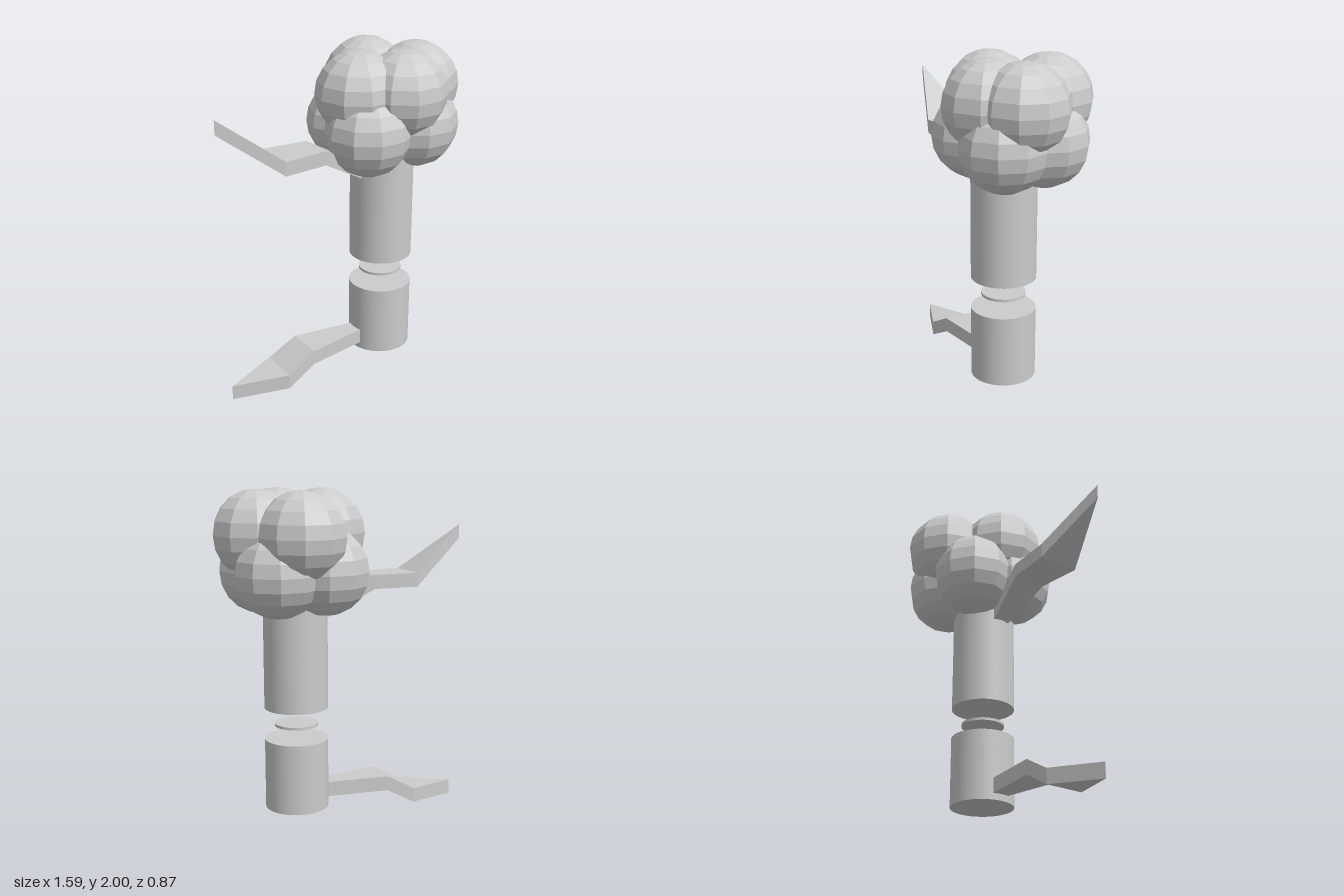
import * as THREE from 'three';

const CX = 0.302, CZ = 0.058; // trunk axis

const grey = (opts = {}) => new THREE.MeshStandardMaterial({ color: 0xcccccc, ...opts });

// Bent leaf-shaped branch: each station is [x, topY, halfWidth], ending in a point
function branchGeometry(stations, thickness) {
  const pos = [], index = [];
  for (const [x, y, w] of stations) {
    pos.push(x, y, CZ - w, x, y, CZ + w, x, y - thickness, CZ + w, x, y - thickness, CZ - w);
  }
  for (let i = 0; i < stations.length - 1; i++) {
    for (let k = 0; k < 4; k++) {
      const a = i * 4 + k, b = i * 4 + (k + 1) % 4;
      index.push(a, a + 4, b, b, a + 4, b + 4);
    }
  }
  index.push(0, 1, 2, 0, 2, 3); // root cap
  const geo = new THREE.BufferGeometry();
  geo.setAttribute('position', new THREE.Float32BufferAttribute(pos, 3));
  geo.setIndex(index);
  const flat = geo.toNonIndexed();
  flat.computeVertexNormals();
  return flat;
}

export function createModel() {
  const model = new THREE.Group();
  model.name = 'tree';

  const add = (name, geometry, material) => {
    const mesh = new THREE.Mesh(geometry, material);
    mesh.name = name;
    model.add(mesh);
    return mesh;
  };

  // Trunk pieces and the thin floating disc between them
  const trunkPieces = [
    ['lowerTrunk', 0.19, 0.09, 0.515],
    ['floatingDisc', 0.13, 0.594, 0.61],
    ['upperTrunk', 0.19, 0.705, 1.5],
  ];
  for (const [name, r, y0, y1] of trunkPieces) {
    add(name, new THREE.CylinderGeometry(r, r, y1 - y0, 48), grey())
      .position.set(CX, (y0 + y1) / 2, CZ);
  }

  // Branches
  const branchMaterial = grey({ flatShading: true, side: THREE.DoubleSide });
  add('upperBranch', branchGeometry(
    [[0.14, 1.315, 0.05], [-0.165, 1.485, 0.105], [-0.44, 1.485, 0.128], [-0.8, 1.755, 0]], 0.085), branchMaterial);
  add('lowerBranch', branchGeometry(
    [[0.14, 0.22, 0.05], [-0.26, 0.22, 0.11], [-0.44, 0.12, 0.122], [-0.765, 0.093, 0]], 0.09), branchMaterial);

  // Foliage: two tiers of four overlapping faceted balls
  const foliage = new THREE.Group();
  foliage.name = 'foliage';
  const ball = new THREE.SphereGeometry(0.257, 10, 10);
  const leafMaterial = grey({ flatShading: true });
  const tiers = [
    ['upperFoliage', 1.743, [[0.13, 0.06], [0.533, 0.06], [0.355, -0.19], [0.355, 0.187]]],
    ['lowerFoliage', 1.532, [[0.137, 0.147], [0.473, 0.147], [0.178, -0.105], [0.465, -0.105]]],
  ];
  for (const [name, y, spots] of tiers) {
    for (const [x, z] of spots) {
      const mesh = new THREE.Mesh(ball, leafMaterial);
      mesh.name = name;
      mesh.position.set(x, y, z);
      foliage.add(mesh);
    }
  }
  model.add(foliage);

  return model;
}
